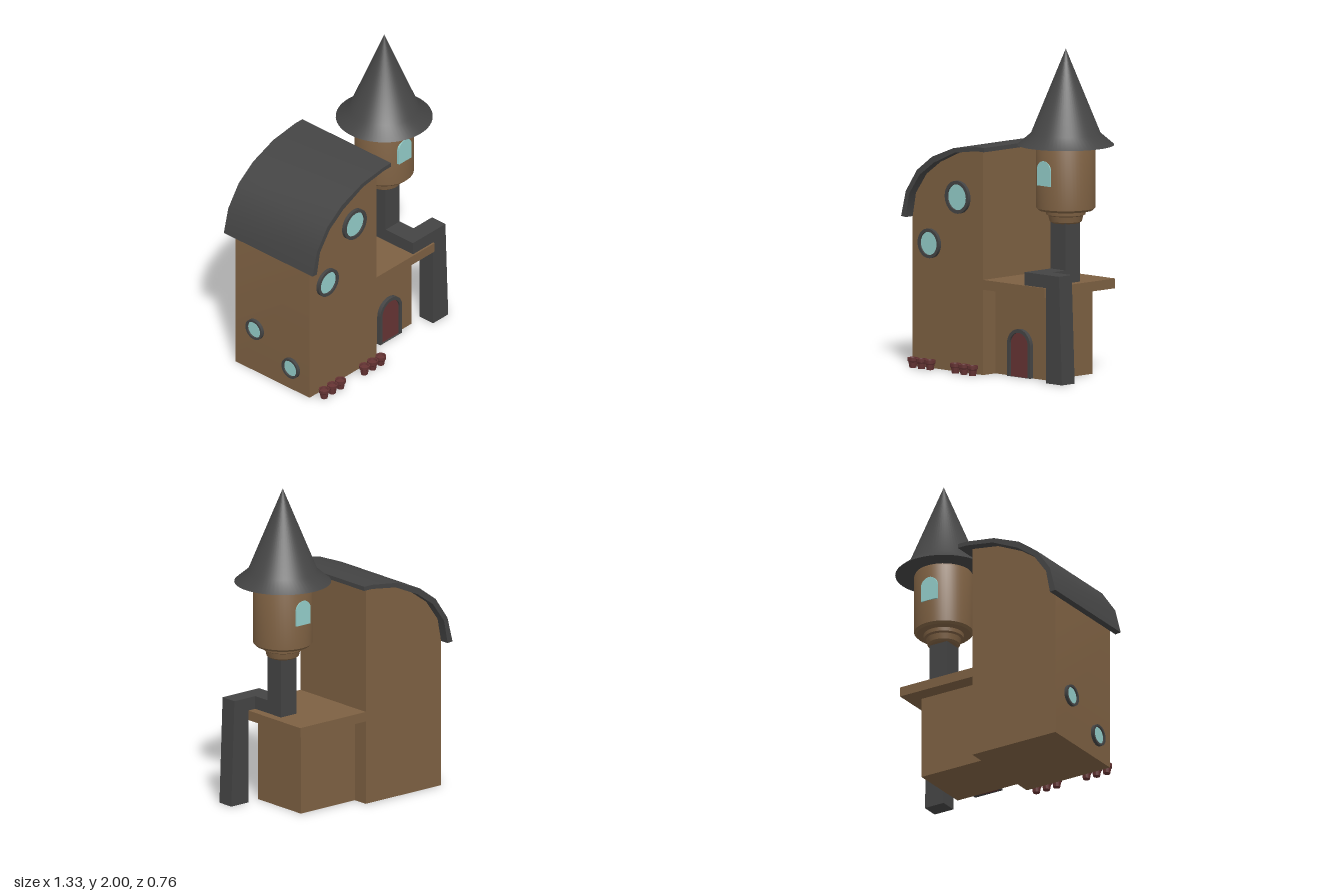
import * as THREE from 'three';
import { toCreasedNormals } from 'three/addons/utils/BufferGeometryUtils.js';

const mat = (color) => new THREE.MeshStandardMaterial({ color, side: THREE.DoubleSide });
const wood = mat(0x7d6042), slate = mat(0x444444), glass = mat(0x93cdc9), red = mat(0x663434);

function add(parent, name, geometry, material, x = 0, y = 0, z = 0) {
  const mesh = new THREE.Mesh(geometry, material);
  mesh.name = name;
  mesh.position.set(x, y, z);
  parent.add(mesh);
  return mesh;
}

// Box given by its lower and upper limits on each axis
function block(parent, name, material, [x0, x1], [y0, y1], [z0, z1]) {
  return add(parent, name, new THREE.BoxGeometry(x1 - x0, y1 - y0, z1 - z0), material,
    (x0 + x1) / 2, (y0 + y1) / 2, (z0 + z1) / 2);
}

const polygon = (points) => new THREE.Shape(points.map(([x, y]) => new THREE.Vector2(x, y)));
const extrude = (shape, depth) => toCreasedNormals(
  new THREE.ExtrudeGeometry(shape, { depth, bevelEnabled: false, curveSegments: 20 }), 0.6);
const lathe = (points, segments) => toCreasedNormals(
  new THREE.LatheGeometry(points.map(([x, y]) => new THREE.Vector2(x, y)), segments), 0.6);

// Upright rectangle with a half-round top, standing on y = 0
function arch(halfWidth, height, PathType = THREE.Shape) {
  const p = new PathType();
  p.moveTo(-halfWidth, 0);
  p.lineTo(halfWidth, 0);
  p.lineTo(halfWidth, height - halfWidth);
  p.absarc(0, height - halfWidth, halfWidth, 0, Math.PI, false);
  p.lineTo(-halfWidth, 0);
  return p;
}

// Round window facing +z with its back at z = 0
function roundWindow(name, r) {
  const g = new THREE.Group();
  g.name = name;
  const ring = new THREE.Shape().absarc(0, 0, r, 0, Math.PI * 2, false);
  ring.holes.push(new THREE.Path().absarc(0, 0, r * 0.79, 0, Math.PI * 2, true));
  add(g, 'windowFrame', extrude(ring, 0.02), slate);
  add(g, 'windowPane', new THREE.CircleGeometry(r * 0.82, 32), glass, 0, 0, 0.01);
  return g;
}

export function createModel() {
  const model = new THREE.Group();
  model.name = 'house';
  const zBack = -0.32, zFront = 0.285;

  // Main house with a curved top
  const inner = [[-0.628, 0.91], [-0.6, 1.055], [-0.51, 1.18], [-0.39, 1.265],
    [-0.215, 1.343], [-0.03, 1.37]];
  const outer = [[-0.667, 0.913], [-0.627, 1.07], [-0.533, 1.207], [-0.405, 1.3],
    [-0.224, 1.37], [-0.03, 1.396], [0.035, 1.396]];
  add(model, 'mainHouse', extrude(polygon([[-0.628, 0], [-0.03, 0], ...[...inner].reverse()]),
    zFront - zBack), wood, 0, 0, zBack);
  add(model, 'curvedRoof', extrude(polygon([...inner, [0.035, 1.37], ...[...outer].reverse()]),
    0.726), slate, 0, 0, -0.381);

  // Round windows on the front and the side wall
  for (const [x, y, r] of [[-0.237, 1.065, 0.1], [-0.477, 0.76, 0.09]]) {
    const w = roundWindow('frontWindow', r);
    w.position.set(x, y, zFront);
    model.add(w);
  }
  for (const [z, y] of [[-0.155, 0.305], [0.14, 0.155]]) {
    const w = roundWindow('sideWindow', 0.067);
    w.position.set(-0.628, y, z);
    w.rotation.y = -Math.PI / 2;
    model.add(w);
  }

  // Low annex with a flat overhanging roof
  block(model, 'annex', wood, [-0.03, 0.4], [0, 0.52], [-0.22, 0.18]);
  block(model, 'annexRoof', wood, [-0.03, 0.49], [0.52, 0.58], [zBack, zFront]);

  // Arched door
  const frame = arch(0.098, 0.293);
  frame.holes.push(arch(0.078, 0.271, THREE.Path));
  add(model, 'doorFrame', extrude(frame, 0.025), slate, 0.19, 0, 0.18);
  add(model, 'door', extrude(arch(0.08, 0.273), 0.012), red, 0.19, 0, 0.18);

  // Cranked support: tapered leg, elbow and post
  add(model, 'supportLeg', extrude(polygon([[0.49, 0], [0.625, 0], [0.6, 0.66], [0.49, 0.66]]),
    0.11), slate, 0, 0, 0.163);
  block(model, 'supportElbow', slate, [0.435, 0.49], [0.58, 0.66], [0.163, 0.273]);
  block(model, 'supportArm', slate, [0.31, 0.435], [0.58, 0.66], [-0.075, 0.273]);
  block(model, 'supportPost', slate, [0.31, 0.435], [0.66, 0.96], [-0.075, 0.05]);

  // Round turret with a stepped base, windows and a flared cone roof
  const turret = new THREE.Group();
  turret.name = 'turret';
  turret.position.set(0.371, 0, -0.018);
  model.add(turret);
  add(turret, 'turretWall', lathe([[0, 0.94], [0.085, 0.94], [0.098, 0.95], [0.106, 0.985],
    [0.12, 0.992], [0.122, 1.015], [0.165, 1.018], [0.179, 1.032], [0.179, 1.4],
    [0.172, 1.416], [0, 1.416]], 48), wood);
  add(turret, 'turretRoof', lathe([[0, 1.415], [0.293, 1.415], [0.211, 1.485], [0, 2]], 64), slate);
  for (const side of [1, -1]) {
    const w = add(turret, 'turretWindow', extrude(arch(0.056, 0.152), 0.03), glass,
      -0.01, 1.178, side * 0.152);
    if (side < 0) w.rotation.y = Math.PI;
  }

  // Two rows of three pots along the front wall
  const pot = lathe([[0, 0], [0.021, 0], [0.027, 0.035], [0.032, 0.04], [0.033, 0.061],
    [0.026, 0.061], [0.024, 0.048], [0, 0.048]], 24);
  for (const start of [-0.565, -0.205]) {
    for (let i = 0; i < 3; i++) add(model, 'pot', pot, red, start + i * 0.073, 0, 0.347);
  }
  return model;
}
